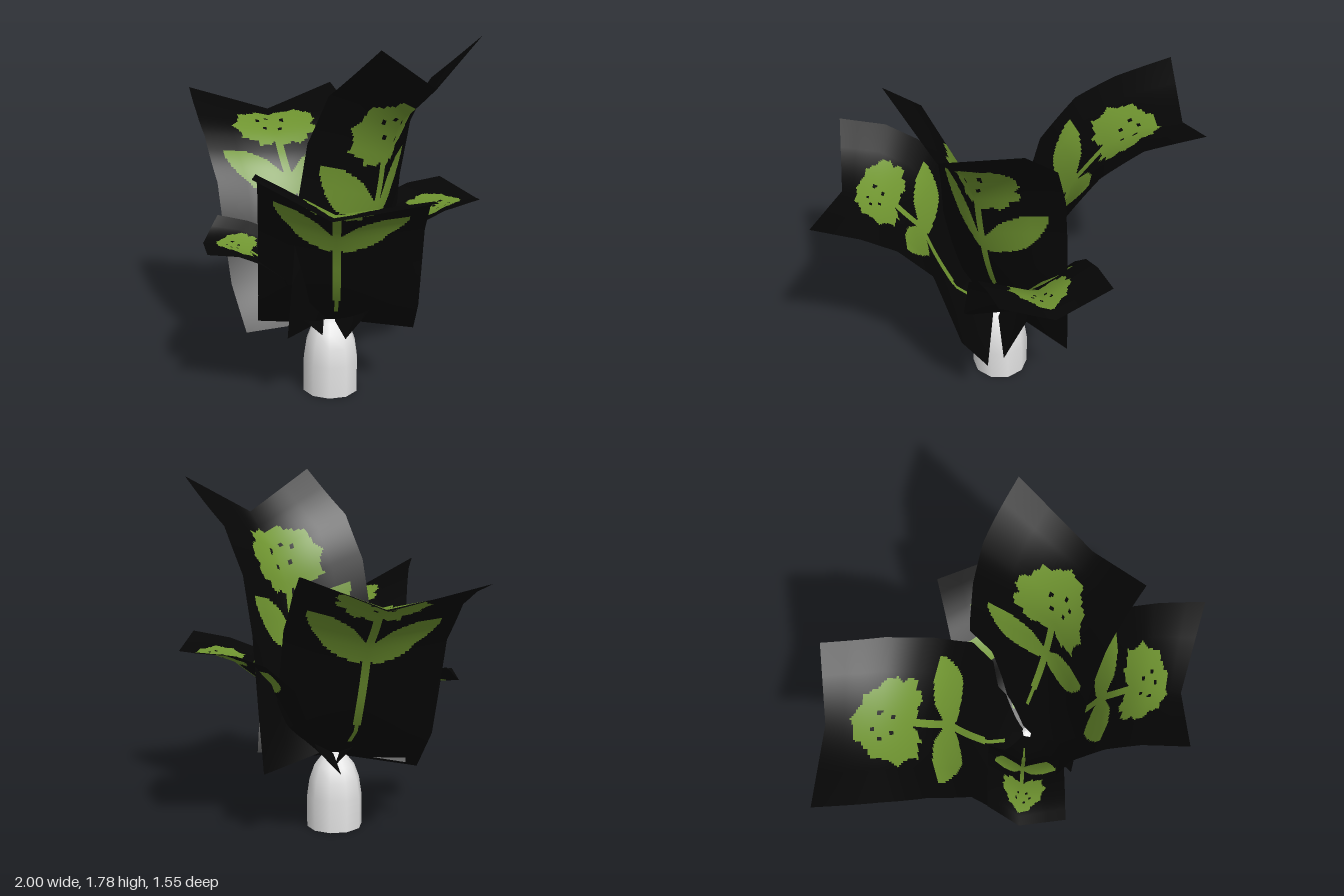
import * as THREE from 'three';

const sheetMat = new THREE.MeshStandardMaterial({ name: 'black sheet', color: 0x060606, side: THREE.DoubleSide });
const leafMat = new THREE.MeshStandardMaterial({ name: 'leaf green', color: 0x6f9430, side: THREE.DoubleSide });
const bulbMat = new THREE.MeshStandardMaterial({ name: 'bulb white', color: 0xe2e2e2, side: THREE.DoubleSide });

// Position of each bend along a sheet (0 base, 1 tip)
const ROWS = [0, 0.2, 0.49, 0.66, 0.8, 1];
// Outward and upward share of the sweep at each bend
const ARCHED = { out: [0, 0.17, 0.33, 0.53, 0.73, 1], up: [0, 0.2, 0.67, 0.86, 0.95, 1] };
const UPRIGHT = { out: [0, 0.05, 0.11, 0.21, 0.43, 1], up: [0, 0.2, 0.48, 0.68, 0.84, 1] };

// base and tip: middle of the straight end edges; half: half of the width [x, z];
// tilt: sideways rise at each bend; dip: offset of the centre crease at the tip;
// bow: sideways curve [x, z]
const SHEETS = [
  { name: 'backLeafSheet', base: [0.14, 0.33, 0], tip: [-0.715, 1.37, -0.52], half: [-0.285, 0.26],
    tilt: [-0.02, -0.02, -0.02, -0.02, -0.03, -0.01], dip: [0.045, -0.13, -0.01], bow: [0, 0.065], bend: ARCHED },
  { name: 'tallLeafSheet', base: [0.17, 0.36, -0.085], tip: [0.63, 1.77, -0.155], half: [-0.02, 0.385],
    tilt: [0.01, 0.01, 0.01, 0.01, 0.01, 0.01], dip: [0.045, -0.2, 0.045], bow: [0, -0.02], bend: UPRIGHT },
  { name: 'frontLeafSheet', base: [0.19, 0.345, -0.02], tip: [0.675, 1.25, 0.565], half: [0.322, -0.21],
    tilt: [0.005, -0.01, -0.02, -0.04, -0.05, -0.04], dip: [-0.075, -0.15, -0.015], bow: [0, -0.02], bend: ARCHED },
  { name: 'smallBackLeafSheet', base: [0.13, 0.35, -0.06], tip: [0.51, 0.98, -0.615], half: [0.21, 0.155],
    tilt: [0, 0, 0, 0, 0, 0.01], dip: [0.07, -0.05, -0.045], bow: [0, 0], bend: ARCHED },
  { name: 'smallFrontLeafSheet', base: [0.13, 0.36, -0.01], tip: [-0.27, 0.82, 0.355], half: [0.11, 0.155],
    tilt: [0, -0.01, -0.02, -0.03, -0.03, -0.04], dip: [-0.06, -0.055, 0.005], bow: [0, 0], bend: ARCHED },
];

// Piecewise linear lookup along the bends
function along(values, t) {
  let i = 0;
  while (i < ROWS.length - 2 && t > ROWS[i + 1]) i++;
  return THREE.MathUtils.lerp(values[i], values[i + 1], (t - ROWS[i]) / (ROWS[i + 1] - ROWS[i]));
}

// Painted leaf: a tapered stem, two pointed side leaflets and a scalloped end leaflet
const HOLES = [[-0.05, 0.03], [0.05, -0.03], [0.03, 0.06], [-0.03, -0.05], [0.08, 0.04]];
function isGreen(u, v) {
  const x = u * 0.385, y = v * 1.4, ax = Math.abs(x);
  if (y > 0.16 && y < 0.65 && ax < 0.01 + 0.03 * (y - 0.16)) return true;
  if (y >= 0.65 && y < 0.95 && ax < 0.016) return true;
  // side leaflet
  const dx = 0.31, dy = 0.22, len = Math.hypot(dx, dy);
  const s = (ax * dx + (y - 0.63) * dy) / (len * len);
  const d = Math.abs(ax * dy - (y - 0.63) * dx) / len;
  if (s > 0 && s < 1 && d < 0.088 * Math.pow(Math.sin(Math.PI * Math.pow(s, 0.9)), 0.75)) return true;
  // end leaflet, highest at the crease
  const h = y - 1.02 - 0.06 * (1 - ax / 0.2);
  if (HOLES.some(([hx, hy]) => Math.hypot(x - hx, (h - hy) * 0.7) < 0.009)) return false;
  const a = Math.atan2(h, x);
  return Math.hypot(x / 0.21, h / 0.18) < 0.97 + 0.05 * Math.sin(11 * a + 1) + 0.03 * Math.sin(23 * a);
}

function makeSheet({ name, base, tip, half, tilt, dip, bow, bend }) {
  // Direction the sheet leans, and how far its crease bulges that way
  const lean = new THREE.Vector2(tip[0] - base[0], tip[2] - base[2]).normalize();
  const bulge = 0.34 * Math.hypot(half[0], half[1]);
  const point = (u, t) => {
    const out = along(bend.out, t), up = along(bend.up, t);
    const fold = 1 - Math.abs(u);
    const swell = fold * bulge * Math.sin(Math.PI * t);
    const b = Math.sin(Math.PI * out);
    return new THREE.Vector3(
      base[0] + (tip[0] - base[0]) * out + half[0] * u + dip[0] * fold * t + lean.x * swell + bow[0] * b,
      base[1] + (tip[1] - base[1]) * up + along(tilt, t) * u + fold * (dip[1] * t + 0.035 * (1 - t)),
      base[2] + (tip[2] - base[2]) * out + half[1] * u + dip[2] * fold * t + lean.y * swell + bow[1] * b,
    );
  };
  // Smooth normal, averaged over neighbouring facets
  const clampU = (u) => THREE.MathUtils.clamp(u, -1, 1), clampT = (t) => THREE.MathUtils.clamp(t, 0, 1);
  const normal = (u, t) => {
    const du = point(clampU(u + 0.6), t).sub(point(clampU(u - 0.6), t));
    const dt = point(u, clampT(t + 0.12)).sub(point(u, clampT(t - 0.12)));
    return du.cross(dt).normalize();
  };

  // Fine grid on the folded sheet, cells sorted by colour
  const NU = 80, NV = 130, positions = [], normals = [], black = [], green = [];
  for (let j = 0; j <= NV; j++) {
    for (let i = 0; i <= NU; i++) {
      const u = (i / NU) * 2 - 1, t = j / NV;
      positions.push(...point(u, t));
      normals.push(...normal(u, t));
      if (i === NU || j === NV) continue;
      const a = j * (NU + 1) + i, d = a + NU + 1;
      const list = isGreen(u + 1 / NU, t + 0.5 / NV) ? green : black;
      list.push(a, a + 1, d + 1, a, d + 1, d);
    }
  }
  const geo = new THREE.BufferGeometry();
  geo.setAttribute('position', new THREE.Float32BufferAttribute(positions, 3));
  geo.setAttribute('normal', new THREE.Float32BufferAttribute(normals, 3));
  geo.setIndex(black.concat(green));
  geo.addGroup(0, black.length, 0);
  geo.addGroup(black.length, green.length, 1);
  const mesh = new THREE.Mesh(geo, [sheetMat, leafMat]);
  mesh.name = name;
  return mesh;
}

export function createModel() {
  const model = new THREE.Group();
  model.name = 'leafyPlant';

  // Open-bottomed rounded bulb
  const profile = [[0.14, 0], [0.14, 0.16], [0.127, 0.25], [0.102, 0.32], [0.065, 0.365], [0.03, 0.382], [0, 0.39]]
    .map(([r, y]) => new THREE.Vector2(r, y));
  const bulb = new THREE.Mesh(new THREE.LatheGeometry(profile, 10), bulbMat);
  bulb.name = 'bulb';
  bulb.position.set(0.155, 0, -0.03);
  model.add(bulb);

  // Folded leaf sheets around the bulb
  for (const sheet of SHEETS) model.add(makeSheet(sheet));
  return model;
}
